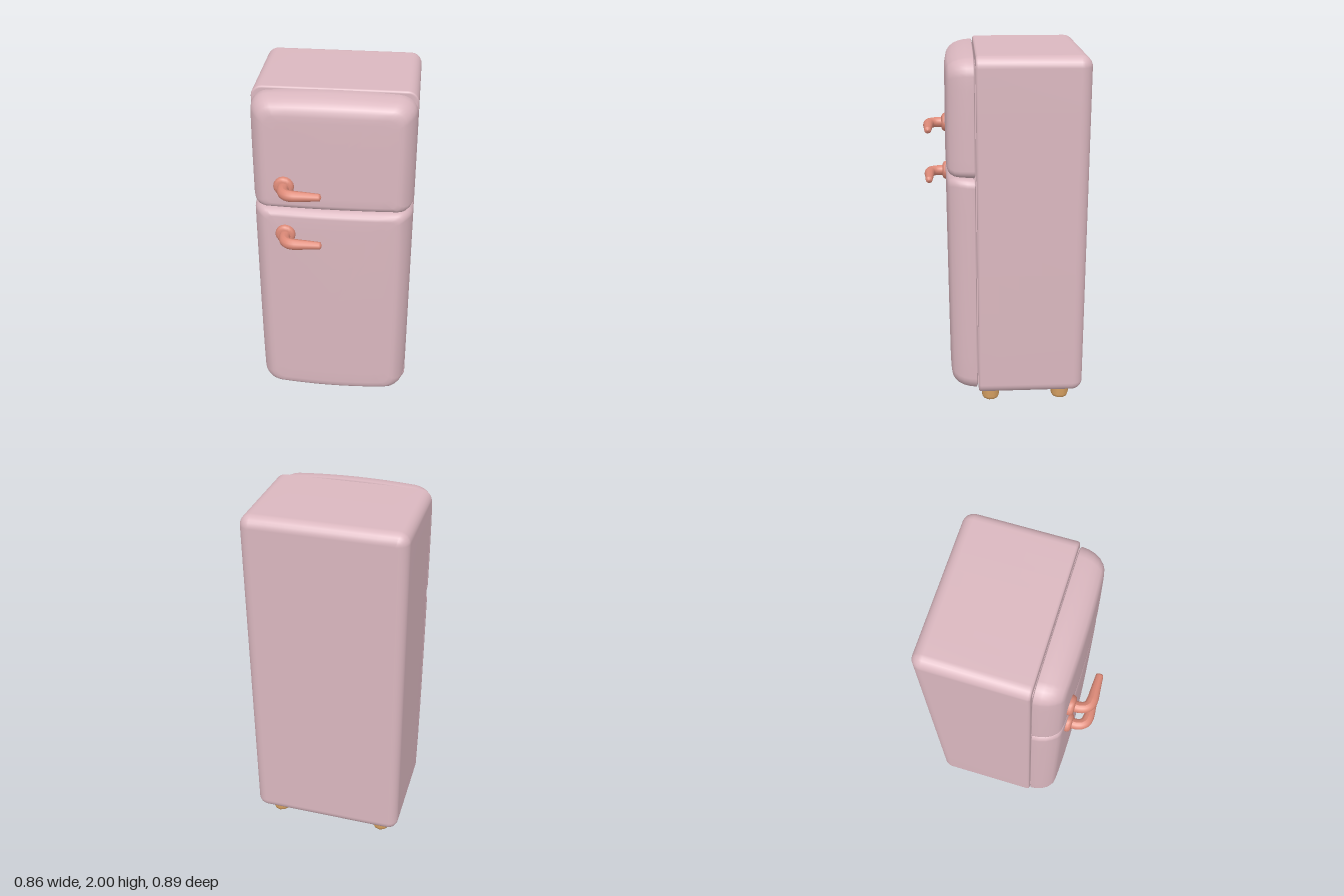
import * as THREE from 'three';

const pink = new THREE.MeshStandardMaterial({ color: 0xdab7bf });
pink.name = 'pink enamel';
const copper = new THREE.MeshStandardMaterial({ color: 0xdd8a78 });
copper.name = 'copper';
const wood = new THREE.MeshStandardMaterial({ color: 0xd6a062 });
wood.name = 'wood';

// Rounded rectangle as a loop of [x, y], with separate low and high corner radii
function roundedLoop(w, lo, hi, rLo, rHi) {
  const corners = [[w - rHi, hi - rHi, rHi], [-w + rHi, hi - rHi, rHi], [-w + rLo, lo + rLo, rLo], [w - rLo, lo + rLo, rLo]];
  const arc = 6, side = 8, pts = [];
  const at = (c, a) => [c[0] + c[2] * Math.cos(a), c[1] + c[2] * Math.sin(a)];
  corners.forEach((c, q) => {
    const a = q * Math.PI / 2;
    for (let i = 0; i <= arc; i++) pts.push(at(c, a + (i / arc) * Math.PI / 2));
    const p = at(c, a + Math.PI / 2), n = at(corners[(q + 1) % 4], a + Math.PI / 2);
    for (let i = 1; i < side; i++) pts.push([p[0] + (n[0] - p[0]) * i / side, p[1] + (n[1] - p[1]) * i / side]);
  });
  return pts;
}

// Skin through loops running from back to front, closed at both ends
function loft(rings) {
  const n = rings[0].length, pos = rings.flat(2), idx = [];
  for (let k = 0; k < rings.length - 1; k++) {
    for (let i = 0; i < n; i++) {
      const a = k * n + i, b = k * n + (i + 1) % n;
      idx.push(a, b, b + n, a, b + n, a + n);
    }
  }
  [0, rings.length - 1].forEach((k) => {
    const c = pos.length / 3;
    for (let d = 0; d < 3; d++) pos.push(rings[k].reduce((s, p) => s + p[d], 0) / n);
    for (let i = 0; i < n; i++) {
      const a = k * n + i, b = k * n + (i + 1) % n;
      if (k) idx.push(c, a, b); else idx.push(c, b, a);
    }
  });
  const geo = new THREE.BufferGeometry();
  geo.setAttribute('position', new THREE.Float32BufferAttribute(pos, 3));
  geo.setIndex(idx);
  geo.computeVertexNormals();
  return geo;
}

function mesh(name, geo, mat) {
  const m = new THREE.Mesh(geo, mat);
  m.name = name;
  return m;
}

// Cabinet: soft back edges, crisp front edge
function cabinetGeometry() {
  const r = 0.06, sections = [];
  for (let i = 0; i <= 6; i++) {
    const a = i / 6 * Math.PI / 2;
    sections.push([-0.445 + r * (1 - Math.cos(a)), r * (1 - Math.sin(a))]);
  }
  sections.push([0.138, 0], [0.147, 0.004], [0.15, 0.012]);
  return loft(sections.map(([z, inset]) => {
    const c = Math.max(r - inset, 0.006);
    return roundedLoop(0.432 - inset, 0.08 + inset, 2 - inset, c, c).map(([x, y]) => [x, y, z]);
  }));
}

// Pillowed door: gap is the edge facing the other door, outer the free edge
function doorGeometry(gap, outer) {
  const up = outer > gap, dir = up ? 1 : -1, height = Math.abs(outer - gap), back = 0.156;
  const place = ([x, y], f) => {
    const d = Math.abs(y - gap) / height;
    const front = 0.316 - 0.012 * (x / 0.36) ** 2 - 0.006 * d * d;
    return [x * (1 - 0.015 * d ** 4), y - dir * 0.02 * d ** 6 * (x / 0.43) ** 2, back + f * (front - back)];
  };
  // depth fraction, side inset, outer inset, gap inset
  const sections = [
    [0, 0.008, 0.008, 0.006], [0.04, 0, 0, 0], [0.3, 0.004, 0.003, 0], [0.55, 0.014, 0.012, 0],
    [0.75, 0.03, 0.025, 0.002], [0.9, 0.05, 0.045, 0.012], [0.97, 0.068, 0.062, 0.024], [1, 0.09, 0.09, 0.04],
  ];
  let loop;
  const rings = sections.map(([f, s, o, g]) => {
    const a = gap + dir * g, b = outer - dir * o;
    const rOuter = 0.09 - s * 0.4, rGap = 0.045 - s * 0.2;
    loop = up ? roundedLoop(0.432 - s, a, b, rGap, rOuter) : roundedLoop(0.432 - s, b, a, rOuter, rGap);
    return loop.map((p) => place(p, f));
  });
  // Gently domed face
  const mid = (gap + outer) / 2;
  for (const k of [0.85, 0.65, 0.4, 0.15]) {
    rings.push(loop.map(([x, y]) => place([x * k, mid + (y - mid) * k], 1)));
  }
  return loft(rings);
}

// Bent lever with a tapering, rounded end
function leverGeometry() {
  const path = new THREE.CatmullRomCurve3([
    [0, 0.32], [0, 0.358], [0.008, 0.386], [0.026, 0.406], [0.055, 0.414], [0.13, 0.414], [0.209, 0.414],
  ].map(([x, z]) => new THREE.Vector3(x, 0, z)));
  const n = 40, sides = 12;
  const geo = new THREE.TubeGeometry(path, n, 1, sides, false);
  const pos = geo.attributes.position, v = new THREE.Vector3();
  for (let i = 0; i <= n; i++) {
    const u = i / n, c = path.getPointAt(u);
    let r = u < 0.45 ? 0.03 : 0.03 - 0.011 * (u - 0.45) / 0.55;
    if (i === n - 1) r *= 0.93;
    if (i === n) r = 0.001;
    for (let j = 0; j <= sides; j++) {
      const k = i * (sides + 1) + j;
      v.fromBufferAttribute(pos, k).sub(c).multiplyScalar(r).add(c);
      pos.setXYZ(k, v.x, v.y, v.z);
    }
  }
  geo.computeVertexNormals();
  return geo;
}

const lathe = (profile, sides) => new THREE.LatheGeometry(profile.map(([r, y]) => new THREE.Vector2(r, y)), sides);

export function createModel() {
  const model = new THREE.Group();
  model.name = 'refrigerator';

  model.add(mesh('cabinet', cabinetGeometry(), pink));
  model.add(mesh('freezerDoor', doorGeometry(1.366, 2), pink));
  model.add(mesh('mainDoor', doorGeometry(1.361, 0.08), pink));

  // Recessed seal joining the doors to the cabinet
  const seal = mesh('doorSeal', new THREE.BoxGeometry(0.8, 1.8, 0.03), pink);
  seal.position.set(0, 1.04, 0.153);
  model.add(seal);

  // Handles
  const lever = leverGeometry();
  const rose = lathe([[0.053, 0], [0.055, 0.022], [0.049, 0.034], [0.036, 0.041], [0, 0.041]], 16);
  rose.rotateX(Math.PI / 2).translate(0, 0, 0.298);
  [['freezerHandle', 1.516], ['mainHandle', 1.222]].forEach(([name, y]) => {
    const handle = new THREE.Group();
    handle.name = name;
    handle.add(mesh('handleBase', rose, copper), mesh('handleLever', lever, copper));
    handle.position.set(-0.248, y, 0);
    model.add(handle);
  });

  // Feet
  const foot = lathe([[0, 0], [0.034, 0], [0.046, 0.008], [0.051, 0.024], [0.051, 0.09]], 10);
  for (const x of [-0.317, 0.317]) {
    for (const z of [-0.325, 0.08]) {
      const m = mesh('foot', foot, wood);
      m.position.set(x, 0, z);
      model.add(m);
    }
  }
  return model;
}
